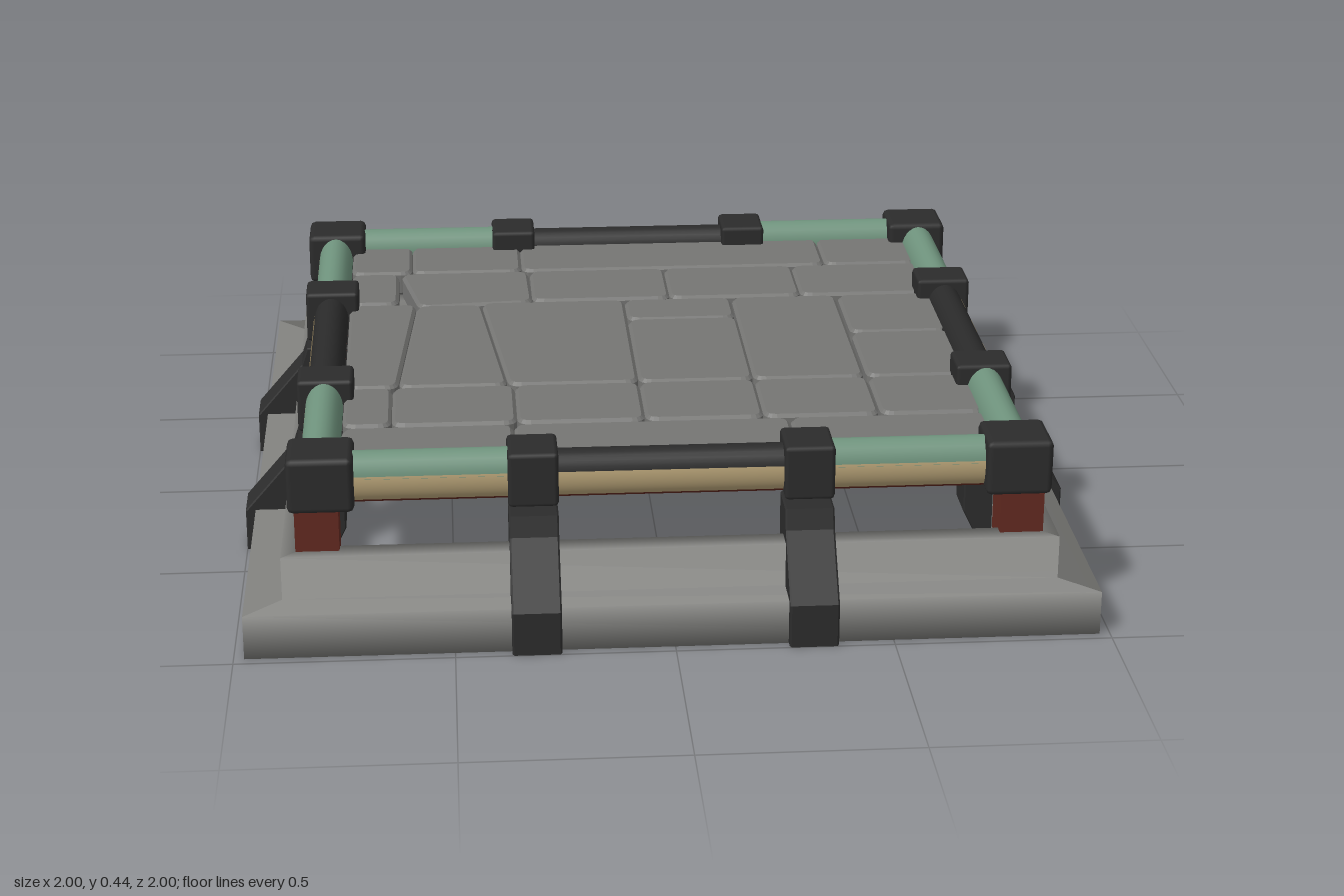
import * as THREE from 'three';
import { RoundedBoxGeometry } from 'three/addons/geometries/RoundedBoxGeometry.js';

const mat = (name, color, side = THREE.FrontSide) => {
  const m = new THREE.MeshStandardMaterial({ color, side });
  m.name = name;
  return m;
};

export function createModel() {
  const model = new THREE.Group();
  model.name = 'stonePlatform';
  const paving = mat('pavingGrey', 0x757573);
  const plinth = mat('plinthGrey', 0x80807d);
  const iron = mat('darkIron', 0x2c2c2c);
  const ironSleeve = mat('darkSleeve', 0x2a2a2a, THREE.DoubleSide);
  const green = mat('paleGreen', 0x6f937d, THREE.DoubleSide);
  const beige = mat('woodBeige', 0xb8a378, THREE.DoubleSide);
  const red = mat('rustRed', 0x632a21, THREE.DoubleSide);

  const add = (parent, name, geometry, material, x = 0, y = 0, z = 0) => {
    const m = new THREE.Mesh(geometry, material);
    m.name = name;
    m.position.set(x, y, z);
    parent.add(m);
    return m;
  };

  // Plinth ring: a stepped section swept round a square
  const section = [
    [0.83, 0], [0.976, 0], [0.976, 0.105], [0.89, 0.105], [0.89, 0.208], [0.83, 0.208],
    [0.83, 0],
  ].map(([r, y]) => new THREE.Vector2(r * Math.SQRT2, y));
  const ring = new THREE.LatheGeometry(section, 4, Math.PI / 4).toNonIndexed();
  // Shade softly across the section but keep the mitred corners sharp
  const p = ring.attributes.position;
  const n = ring.attributes.normal;
  for (let i = 0; i < p.count; i += 3) {
    const cx = p.getX(i) + p.getX(i + 1) + p.getX(i + 2);
    const cz = p.getZ(i) + p.getZ(i + 1) + p.getZ(i + 2);
    const alongX = Math.abs(cx) > Math.abs(cz);
    for (let j = i; j < i + 3; j++) {
      const h = Math.hypot(n.getX(j), n.getZ(j));
      const flow = alongX ? n.getX(j) : n.getZ(j);
      n.setXYZ(j, alongX ? h * Math.sign(flow) : 0, n.getY(j), alongX ? 0 : h * Math.sign(flow));
    }
  }
  add(model, 'plinthRing', ring, plinth);

  // Paving stones: quads with rounded corners and chamfered rims
  const stone = (pts) => {
    const v = pts.map(([x, z]) => new THREE.Vector2(x, z));
    const r = 0.028;
    const s = new THREE.Shape();
    v.forEach((c, i) => {
      const toward = (q) => c.clone().add(q.clone().sub(c).setLength(r));
      const a = toward(v[(i + 3) % 4]);
      const b = toward(v[(i + 1) % 4]);
      if (i === 0) s.moveTo(a.x, a.y);
      else s.lineTo(a.x, a.y);
      s.quadraticCurveTo(c.x, c.y, b.x, b.y);
    });
    s.closePath();
    const g = new THREE.ExtrudeGeometry(s, {
      depth: 0.049, bevelEnabled: true, bevelThickness: 0.008, bevelSize: 0.008,
      bevelOffset: -0.005, bevelSegments: 1, curveSegments: 4,
    });
    add(model, 'pavingStone', g.rotateX(Math.PI / 2), paving, 0, 0.377, 0);
  };
  const rows = [
    [-0.77, -0.56, [[-0.75, -0.595], [-0.588, -0.302], [-0.295, 0.517], [0.525, 0.77]]],
    [-0.547, -0.318, [[-0.75, -0.63], [-0.275, 0.08], [0.086, 0.425], [0.431, 0.77]]],
    [-0.302, -0.158, [[-0.035, 0.237]]],
    [-0.151, 0.286, [[-0.035, 0.24]]],
    [-0.302, 0.286, [[0.246, 0.513]]],
    [-0.302, -0.027, [[0.525, 0.77]]],
    [-0.019, 0.286, [[0.525, 0.77]]],
    [0.297, 0.535, [[-0.75, -0.641], [-0.634, -0.345], [-0.338, -0.042],
      [-0.035, 0.24], [0.246, 0.516], [0.525, 0.77]]],
    [0.552, 0.77, [[-0.75, -0.355], [-0.347, 0.297], [0.305, 0.77]]],
  ];
  for (const [z0, z1, spans] of rows) {
    for (const [x0, x1] of spans) stone([[x0, z0], [x1, z0], [x1, z1], [x0, z1]]);
  }
  // Slanted stones on the right-hand side
  stone([[-0.62, -0.547], [-0.285, -0.547], [-0.28, -0.312], [-0.572, -0.288]]);
  stone([[-0.75, -0.302], [-0.583, -0.302], [-0.628, 0.286], [-0.75, 0.286]]);
  stone([[-0.576, -0.29], [-0.414, -0.288], [-0.36, 0.286], [-0.62, 0.286]]);
  stone([[-0.408, -0.302], [-0.042, -0.302], [-0.042, 0.286], [-0.352, 0.286]]);

  // Strip of a rail tube along x; angles in degrees, 0 = outward, 90 = up
  const railStrip = (length, from, to, rx, ry) => {
    const d = Math.PI / 180;
    return new THREE.CylinderGeometry(1, 1, length, 14, 1, true, from * d, (to - from) * d)
      .rotateZ(Math.PI / 2).scale(1, ry, rx);
  };
  const greenGeo = railStrip(0.44, 8, 205, 0.045, 0.061);
  const sleeveGeo = railStrip(0.64, 14, 205, 0.043, 0.054);
  const woodGeo = railStrip(1.5, -52, 14, 0.045, 0.06);
  const undersideGeo = railStrip(1.5, -155, -52, 0.045, 0.06);

  // Side profile of the strut gripping the plinth: [distance out, height]
  const strutShape = new THREE.Shape([
    [0.785, 0.003], [0.997, 0.003], [0.997, 0.102], [0.88, 0.237], [0.865, 0.282],
    [0.762, 0.282], [0.762, 0.05],
  ].map(([a, b]) => new THREE.Vector2(a, b)));
  const strutGeo = new THREE.ExtrudeGeometry(strutShape, {
    depth: 0.105, bevelEnabled: true, bevelThickness: 0.004, bevelSize: 0.003,
    bevelSegments: 1,
  }).translate(0, 0, -0.0525).rotateY(-Math.PI / 2);
  const clampGeo = new RoundedBoxGeometry(0.115, 0.13, 0.135, 1, 0.01);
  const capGeo = new RoundedBoxGeometry(0.152, 0.132, 0.152, 1, 0.014);
  const postGeo = new THREE.BoxGeometry(0.1, 0.14, 0.1);

  // Four identical sides, each with one corner
  for (let k = 0; k < 4; k++) {
    const side = new THREE.Group();
    side.name = 'railSide';
    side.rotation.y = k * Math.PI / 2;
    model.add(side);

    for (const x of [-0.53, 0.53]) {
      add(side, 'railGreenTop', greenGeo, green, x, 0.367, 0.8);
    }
    add(side, 'railDarkTop', sleeveGeo, ironSleeve, 0, 0.367, 0.8);
    add(side, 'railWoodFace', woodGeo, beige, 0, 0.367, 0.8);
    add(side, 'railUnderside', undersideGeo, red, 0, 0.367, 0.8);

    for (const x of [-0.315, 0.315]) {
      add(side, 'railClamp', clampGeo, iron, x, 0.369, 0.797);
      add(side, 'strut', strutGeo, iron, x, 0, 0);
    }
    add(side, 'cornerCap', capGeo, iron, 0.796, 0.37, 0.796);
    add(side, 'cornerPost', postGeo, red, 0.807, 0.25, 0.807);
  }
  return model;
}
